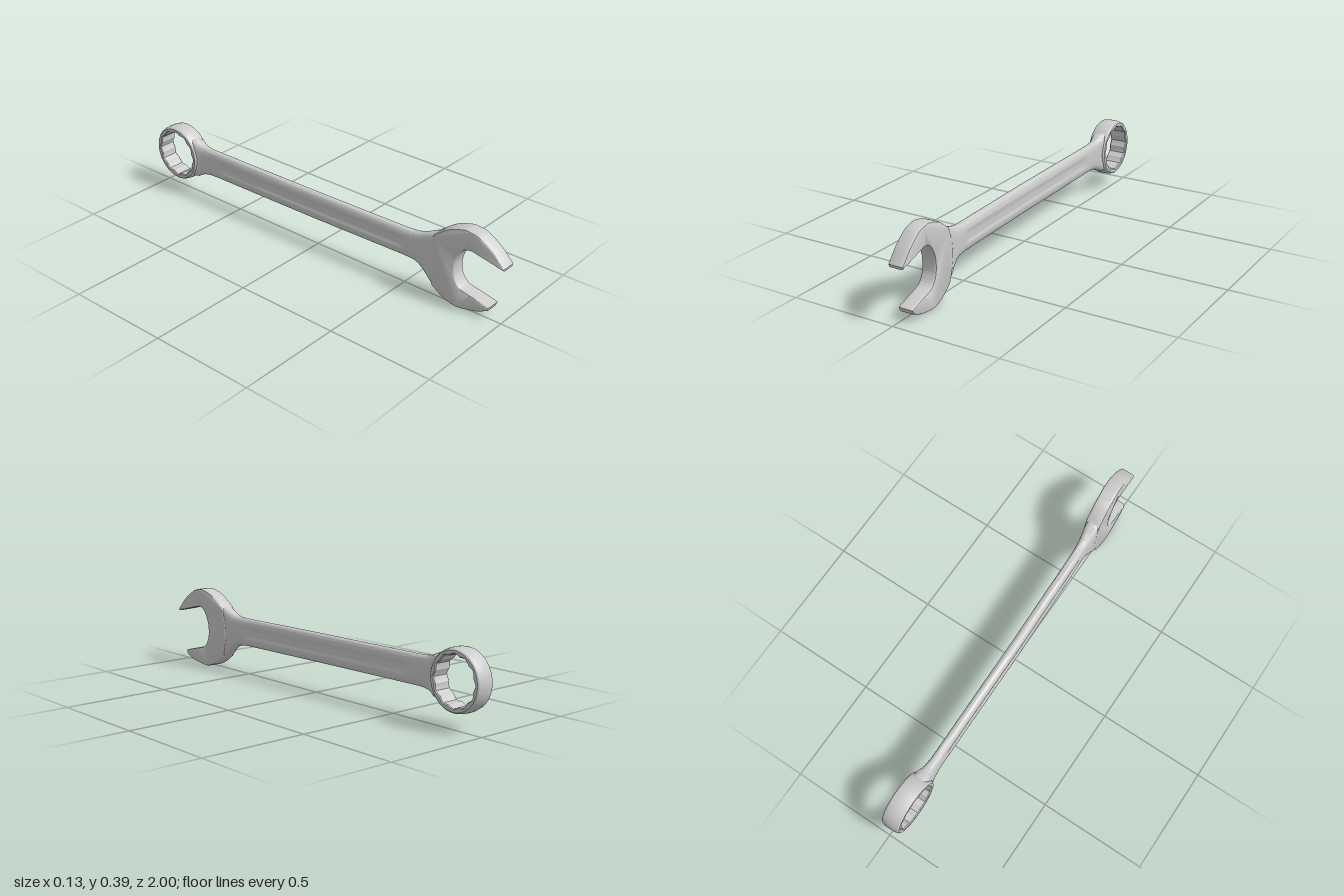
import * as THREE from 'three';
import { toCreasedNormals } from 'three/addons/utils/BufferGeometryUtils.js';

const steel = new THREE.MeshStandardMaterial({ color: 0xcccccc, side: THREE.DoubleSide });
const RING = { x: -0.0225, y: 0.2075, z: -0.8625 };

// Surface through rows of points; every row is a closed loop
function loft(rows) {
  const n = rows[0].length, index = [];
  for (let i = 0; i < rows.length - 1; i++) {
    for (let j = 0; j < n; j++) {
      const k = (j + 1) % n;
      const a = i * n + j, b = i * n + k, c = (i + 1) * n + k, d = (i + 1) * n + j;
      index.push(a, b, c, a, c, d);
    }
  }
  const g = new THREE.BufferGeometry();
  g.setAttribute('position', new THREE.Float32BufferAttribute(rows.flat(2), 3));
  g.setIndex(index);
  return g;
}

function part(name, geometry, crease) {
  const mesh = new THREE.Mesh(toCreasedNormals(geometry, crease), steel);
  mesh.name = name;
  return mesh;
}

// Handle: rounded sections, flared into both heads, with a shallow groove per face
function handle() {
  // z, bottom, top, centre x, half thickness, squareness
  const keys = [
    [-0.747, 0.105, 0.310, -0.022, 0.038, 4],
    [-0.735, 0.116, 0.299, -0.022, 0.036, 4],
    [-0.720, 0.126, 0.291, -0.022, 0.031, 3.6],
    [-0.700, 0.135, 0.284, -0.022, 0.027, 3.2],
    [-0.660, 0.142, 0.279, -0.022, 0.0235, 3],
    [-0.610, 0.143, 0.278, -0.021, 0.023, 3],
    [0.000, 0.141, 0.276, -0.013, 0.024, 3],
    [0.500, 0.140, 0.273, 0.000, 0.024, 3],
    [0.550, 0.136, 0.275, 0.003, 0.025, 3],
    [0.580, 0.125, 0.280, 0.004, 0.027, 3.2],
    [0.610, 0.104, 0.291, 0.006, 0.031, 4],
    [0.635, 0.080, 0.302, 0.007, 0.034, 5],
    [0.660, 0.060, 0.313, 0.008, 0.0345, 6],
    [0.700, 0.034, 0.334, 0.010, 0.033, 6],
  ];
  const rows = [], half = 32, { smoothstep, lerp } = THREE.MathUtils;
  const section = ([z, y0, y1, xc, hx, n], atRing) => {
    const yc = (y0 + y1) / 2, hy = (y1 - y0) / 2, row = [];
    const along = smoothstep(z, -0.61, -0.55) * (1 - smoothstep(z, 0.47, 0.53));
    for (const side of [1, -1]) {
      for (let j = 0; j < half; j++) {
        const u = side * Math.sin((j / half - 0.5) * Math.PI);
        const dy = hy * u;
        const groove = 0.005 * along * (1 - smoothstep(Math.abs(dy), 0.018, 0.029));
        const x = xc + side * (hx * Math.pow(Math.max(0, 1 - Math.abs(u) ** n), 1 / n) - groove);
        // the last section wraps round the ring wall
        row.push([x, yc + dy, atRing ? RING.z + Math.sqrt(0.125 ** 2 - dy * dy) : z]);
      }
    }
    return row;
  };
  keys.forEach((key, i) => {
    rows.push(section(key, i === 0));
    const next = keys[i + 1];
    const steps = !next || i === 0 ? 1 : next[0] - key[0] > 0.3 ? 24 : 4;
    for (let s = 1; s < steps; s++) rows.push(section(key.map((v, k) => lerp(v, next[k], s / steps))));
  });
  return part('handle', loft(rows), 0.7);
}

// Box end: a barrelled ring with a twelve-point hole
function boxEnd() {
  const rows = [], count = 96;
  for (let i = 0; i <= count; i++) {
    const a = (i / count) * Math.PI * 2;
    const wave = Math.abs(((i / count) * 12) % 1 - 0.5) * 2;
    const r = 0.105 + 0.009 * wave;
    const profile = [
      [-0.0445, 0.127], [-0.039, 0.1325], [-0.02, 0.1365], [0, 0.1375],
      [0.02, 0.1365], [0.039, 0.1325], [0.0445, 0.127],
      [0.0445, r + 0.004], [0.04, r], [-0.04, r], [-0.0445, r + 0.004],
    ];
    rows.push(profile.map(([x, q]) => [RING.x + x, RING.y + q * Math.sin(a), RING.z + q * Math.cos(a)]));
  }
  return part('boxEnd', loft(rows), 0.45);
}

// Open end: bevelled jaw plate, leaning slightly to the side
function openEnd() {
  const pts = (list) => list.map(([z, y]) => new THREE.Vector2(z, y));
  const s = new THREE.Shape();
  s.moveTo(0.66, 0.06);
  s.splineThru(pts([[0.715, 0.022], [0.76, 0.005], [0.80, 0.001], [0.88, 0.015], [0.937, 0.04]]));
  s.lineTo(0.945, 0.06);
  s.lineTo(0.86, 0.082);
  s.splineThru(pts([[0.80, 0.10], [0.773, 0.135], [0.765, 0.17], [0.768, 0.215], [0.785, 0.258], [0.81, 0.287], [0.845, 0.294]]));
  s.lineTo(0.998, 0.256);
  s.lineTo(1, 0.268);
  s.splineThru(pts([[0.944, 0.327], [0.88, 0.372], [0.835, 0.384], [0.80, 0.385], [0.73, 0.362], [0.66, 0.313]]));
  s.quadraticCurveTo(0.60, 0.19, 0.66, 0.06);

  const bevel = 0.012, depth = 0.072 - 2 * bevel;
  const g = new THREE.ExtrudeGeometry(s, {
    depth, curveSegments: 24, bevelEnabled: true, bevelThickness: bevel,
    bevelSize: 0.006, bevelOffset: -0.006, bevelSegments: 3,
  });
  g.translate(0, 0, -depth / 2);
  g.rotateY(-Math.PI / 2);
  const p = g.attributes.position;
  for (let i = 0; i < p.count; i++) p.setX(i, p.getX(i) + 0.008 + 0.053 * (p.getZ(i) - 0.65));
  return part('openEnd', g, 0.6);
}

export function createModel() {
  const model = new THREE.Group();
  model.name = 'combinationWrench';
  model.add(handle(), boxEnd(), openEnd());
  return model;
}
